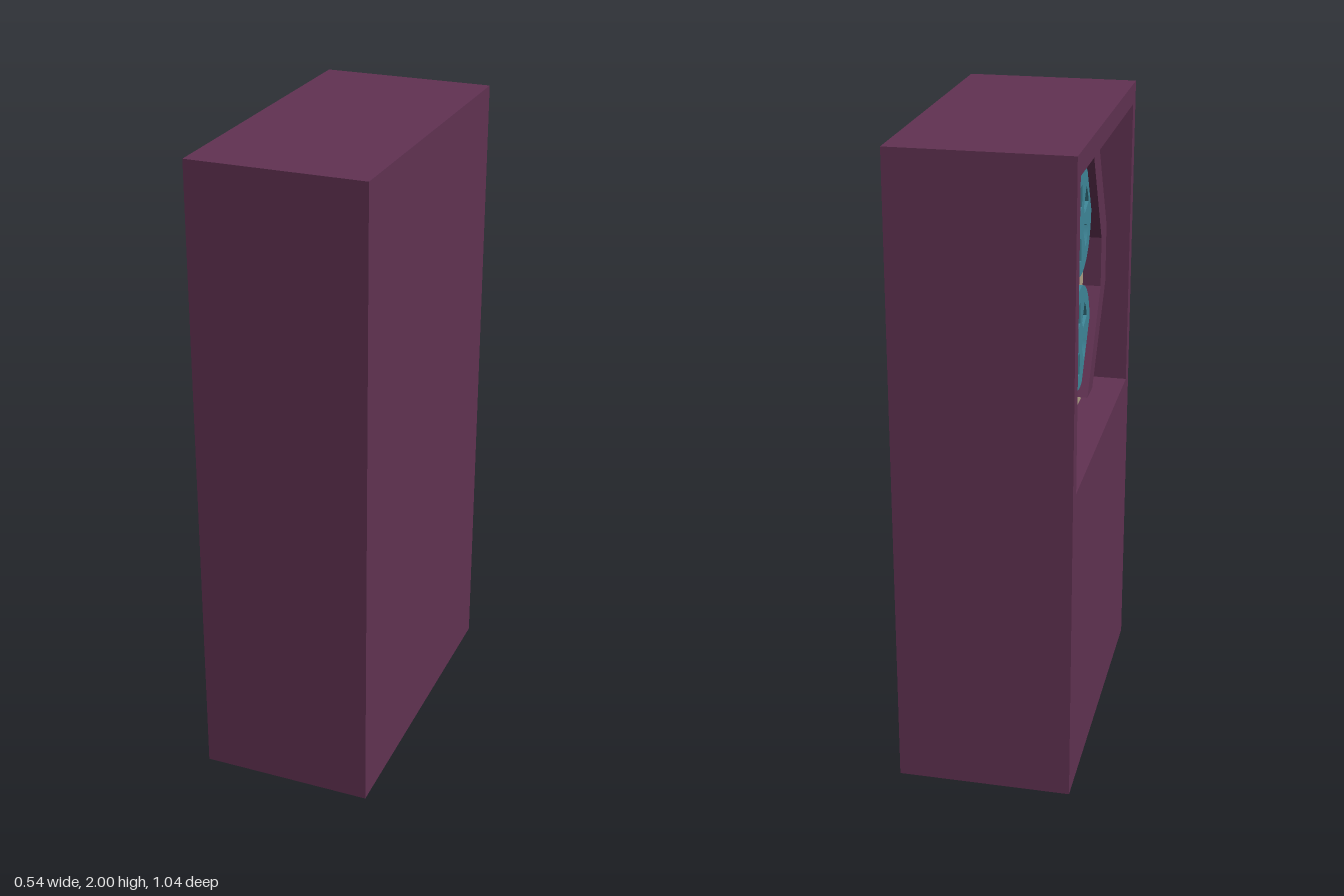
import * as THREE from 'three';

const purple = new THREE.MeshStandardMaterial({ color: 0x613252 });
const tan = new THREE.MeshStandardMaterial({ color: 0xb0a186 });
const teal = new THREE.MeshStandardMaterial({ color: 0x3f8799 });

const W = 0.54, H = 2, D = 1.04;   // cabinet size
const BACK = -0.15;                // x of the recess floor

function shapeOf(points) {
  return new THREE.Shape(points.map(([z, y]) => new THREE.Vector2(z, y)));
}

// Extrude a (z, y) outline from x towards the open side (-x)
function sidePart(name, shape, x, depth, material) {
  const geo = new THREE.ExtrudeGeometry(shape, { depth, bevelEnabled: false, curveSegments: 32 });
  geo.rotateY(-Math.PI / 2);
  const mesh = new THREE.Mesh(geo, material);
  mesh.name = name;
  mesh.position.x = x;
  return mesh;
}

// Disc with five wedge-shaped windows
function reel(name, z, y, r) {
  const shape = new THREE.Shape().absarc(0, 0, r, 0, Math.PI * 2);
  for (let i = 0; i < 5; i++) {
    const mid = Math.PI / 5 + (i * Math.PI * 2) / 5, half = 0.3;
    const hole = new THREE.Path();
    hole.absarc(0, 0, r * 0.72, mid - half, mid + half, false);
    hole.absarc(0, 0, r * 0.3, mid + half, mid - half, true);
    hole.closePath();
    shape.holes.push(hole);
  }
  const mesh = sidePart(name, shape, BACK, 0.036, teal);
  mesh.position.set(BACK, y, z);
  return mesh;
}

export function createModel() {
  const model = new THREE.Group();
  model.name = 'cabinet';

  // Solid body behind the recess
  const coreW = W / 2 - BACK;
  const body = new THREE.Mesh(new THREE.BoxGeometry(coreW, H, D), purple);
  body.name = 'body';
  body.position.set(W / 2 - coreW / 2, H / 2, 0);
  model.add(body);

  // Side wall with the window opening
  const d = D / 2, z = 0.47, y0 = 1.0, y1 = 1.935;
  const wall = shapeOf([[-d, 0], [d, 0], [d, H], [-d, H]]);
  wall.holes.push(new THREE.Path(shapeOf([[-z, y0], [-z, y1], [z, y1], [z, y0]]).getPoints()));
  model.add(sidePart('windowWall', wall, BACK, W / 2 + BACK, purple));

  // Recess floor
  const panel = new THREE.Mesh(new THREE.BoxGeometry(0.004, y1 - y0, z * 2), tan);
  panel.name = 'backPanel';
  panel.position.set(BACK, (y0 + y1) / 2, 0);
  model.add(panel);

  // Bent guide bar
  model.add(sidePart('guideBar', shapeOf([
    [0.05, 1.09], [0.14, 1.09], [0.36, 1.38], [0.36, 1.57],
    [0.15, 1.935], [0.05, 1.935], [0.266, 1.55], [0.266, 1.39],
  ]), BACK, 0.06, purple));

  // Reels
  model.add(
    reel('upperReel', 0.04, 1.66, 0.165),
    reel('lowerReel', 0.04, 1.29, 0.165),
    reel('smallReel', -0.27, 1.475, 0.135),
  );
  return model;
}
